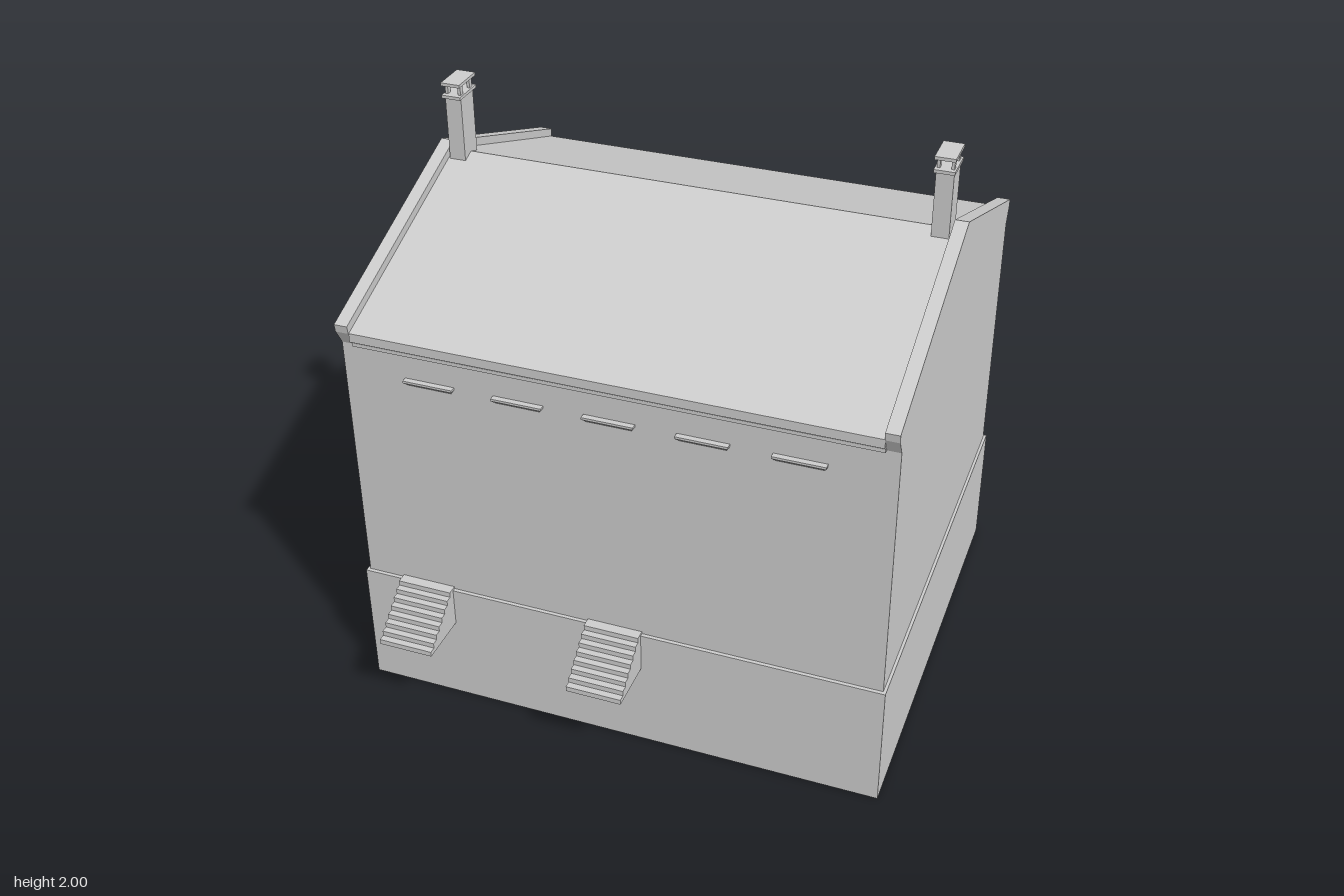
import * as THREE from 'three';

// Extrude a (z, y) outline along x, centred on cx
function extrudeAlongX(points, width, cx = 0) {
  const shape = new THREE.Shape(points.map(([z, y]) => new THREE.Vector2(z, y)));
  const geo = new THREE.ExtrudeGeometry(shape, { depth: width, bevelEnabled: false });
  return geo.translate(0, 0, -width / 2).rotateY(-Math.PI / 2).translate(cx, 0, 0);
}

// Mirror one half of an outline (listed bottom to ridge, z > 0) to the other side
function symmetric(half) {
  const other = half.filter(([z]) => z > 0).map(([z, y]) => [-z, y]).reverse();
  return [...half, ...other];
}

export function createModel() {
  const model = new THREE.Group();
  model.name = 'house';
  const stone = new THREE.MeshStandardMaterial({ color: 0xcccccc, side: THREE.DoubleSide });
  stone.name = 'lightGrey';

  function add(name, geo, parent = model) {
    const mesh = new THREE.Mesh(geo, stone);
    mesh.name = name;
    parent.add(mesh);
    return mesh;
  }
  function box(name, w, h, d, x, y, z, parent) {
    return add(name, new THREE.BoxGeometry(w, h, d).translate(x, y, z), parent);
  }

  // Hollow plinth, open underneath
  const plinth = new THREE.BoxGeometry(1.86, 0.46, 1.556).translate(0, 0.23, 0);
  plinth.setIndex(Array.from(plinth.index.array).filter((_, i) => i < 18 || i >= 24));
  plinth.clearGroups();
  add('plinth', plinth);

  // Walls with stepped eaves and the pitched roof
  add('wallsAndRoof', extrudeAlongX(symmetric([
    [0.765, 0.458], [0.765, 1.385], [0.78, 1.385], [0.78, 1.398], [0.772, 1.398],
    [0.772, 1.408], [0.793, 1.408], [0.793, 1.44], [0, 1.735],
  ]), 1.75));

  // Gable walls rising above the roof as parapets
  const gable = symmetric([
    [0.765, 0.458], [0.765, 1.385], [0.796, 1.44], [0.80, 1.468], [0, 1.766],
  ]);
  for (const s of [-1, 1]) add('gableWall', extrudeAlongX(gable, 0.046, s * 0.897));

  // Chimneys with open, capped tops
  for (const s of [-1, 1]) {
    const chimney = new THREE.Group();
    chimney.name = 'chimney';
    chimney.position.x = s * 0.839;
    model.add(chimney);
    box('chimneyShaft', 0.058, 0.245, 0.09, 0, 1.8225, 0, chimney);
    box('chimneyCollar', 0.068, 0.011, 0.122, 0, 1.9505, 0, chimney);
    box('chimneyCap', 0.068, 0.011, 0.122, 0, 1.9945, 0, chimney);
    for (const x of [-1, 1]) for (const z of [-1, 1])
      box('chimneyPost', 0.01, 0.033, 0.018, x * 0.023, 1.9725, z * 0.034, chimney);
  }

  // Stair outline, climbing towards the wall
  const steps = 8, low = 0.318, high = 0.468, outer = 0.965, inner = 0.778;
  const stair = [[0.765, low], [outer, low]];
  for (let i = 0; i < steps; i++) {
    const z = outer - (outer - inner) * i / steps;
    const y = low + (high - low) * (i + 1) / steps;
    stair.push([z, y], [i === steps - 1 ? 0.765 : z - (outer - inner) / steps, y]);
  }

  // Tapered ledge: a thin slab with a narrowing underside
  const ledge = new THREE.BoxGeometry(0.172, 0.017, 0.03);
  const p = ledge.attributes.position;
  for (let i = 0; i < p.count; i++) {
    if (p.getY(i) > 0) continue;
    p.setX(i, p.getX(i) * 0.87);
    if (p.getZ(i) > 0) p.setZ(i, -0.004);
  }
  ledge.computeVertexNormals();

  // Long sides: a pair of stairs and a row of ledges on each
  for (const [name, turn, stairXs] of [
    ['frontDetails', 0, [-0.692, -0.002]],
    ['backDetails', Math.PI, [0.608, -0.293]],
  ]) {
    const side = new THREE.Group();
    side.name = name;
    side.rotation.y = turn;
    model.add(side);
    for (const x of stairXs) add('stairs', extrudeAlongX(stair, 0.194, x), side);
    for (let i = -2; i <= 2; i++) {
      const x = i * 0.308;
      box('ledgeSlab', 0.172, 0.008, 0.03, x, 1.29, 0.77, side);
      add('ledgeUnderside', ledge, side).position.set(x, 1.2775, 0.77);
    }
  }
  return model;
}
